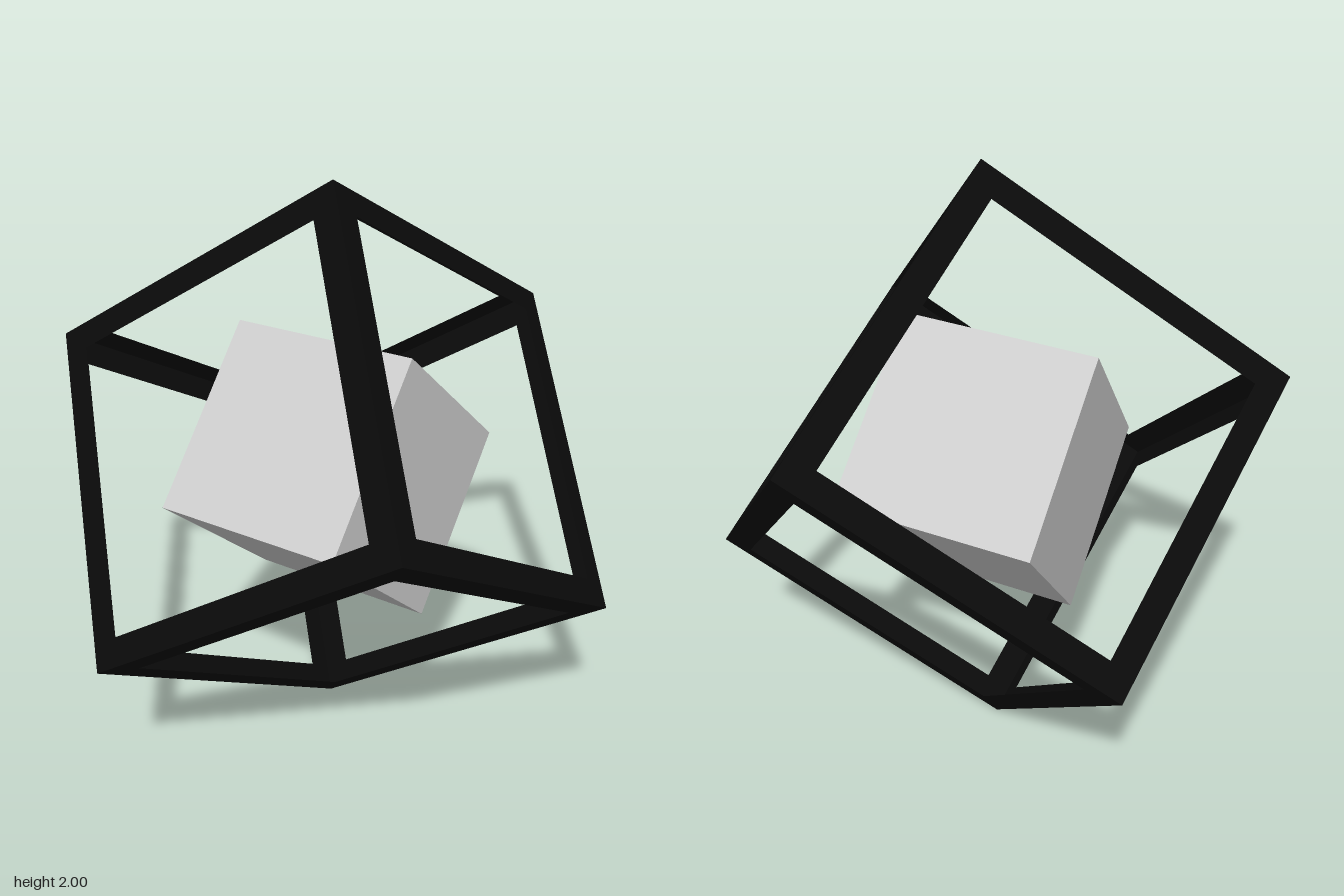
import * as THREE from 'three';

// Orientation from two edge directions of a cube (third follows)
function orient(object, edgeA, edgeB) {
  const x = new THREE.Vector3(...edgeA).normalize();
  const z = x.clone().cross(new THREE.Vector3(...edgeB)).normalize();
  const y = z.clone().cross(x);
  object.quaternion.setFromRotationMatrix(new THREE.Matrix4().makeBasis(x, y, z));
}

function squarePath(path, half) {
  path.moveTo(-half, -half);
  path.lineTo(half, -half);
  path.lineTo(half, half);
  path.lineTo(-half, half);
  path.closePath();
  return path;
}

export function createModel() {
  const model = new THREE.Group();
  model.name = 'cubeInCubeFrame';

  // Solid inner cube
  const innerCube = new THREE.Mesh(
    new THREE.BoxGeometry(0.663, 0.663, 0.663),
    new THREE.MeshStandardMaterial({ color: 0xcccccc })
  );
  innerCube.name = 'innerCube';
  innerCube.position.y = 1;
  orient(innerCube, [0.307, 0.493, -0.32], [0.371, -0.44, -0.329]);
  model.add(innerCube);

  // Outer frame: six thin square faces, each with a square opening
  const size = 1.16, border = 0.09;
  const face = squarePath(new THREE.Shape(), size / 2);
  face.holes.push(squarePath(new THREE.Path(), size / 2 - border));
  const faceGeometry = new THREE.ShapeGeometry(face);
  const black = new THREE.MeshStandardMaterial({ color: 0x0a0a0a, side: THREE.DoubleSide });

  const frame = new THREE.Group();
  frame.name = 'outerFrame';
  const turns = [[0, 0], [0, 1], [0, 2], [0, 3], [1, 0], [-1, 0]];
  turns.forEach(([rx, ry], i) => {
    const panel = new THREE.Mesh(faceGeometry, black);
    panel.name = `frameFace${i + 1}`;
    panel.rotation.set(rx * Math.PI / 2, ry * Math.PI / 2, 0);
    panel.position.set(0, 0, size / 2).applyEuler(panel.rotation);
    frame.add(panel);
  });
  frame.position.y = 1;
  orient(frame, [-0.01, 0.77, -0.865], [-0.835, 0.6, 0.54]);
  model.add(frame);

  return model;
}
